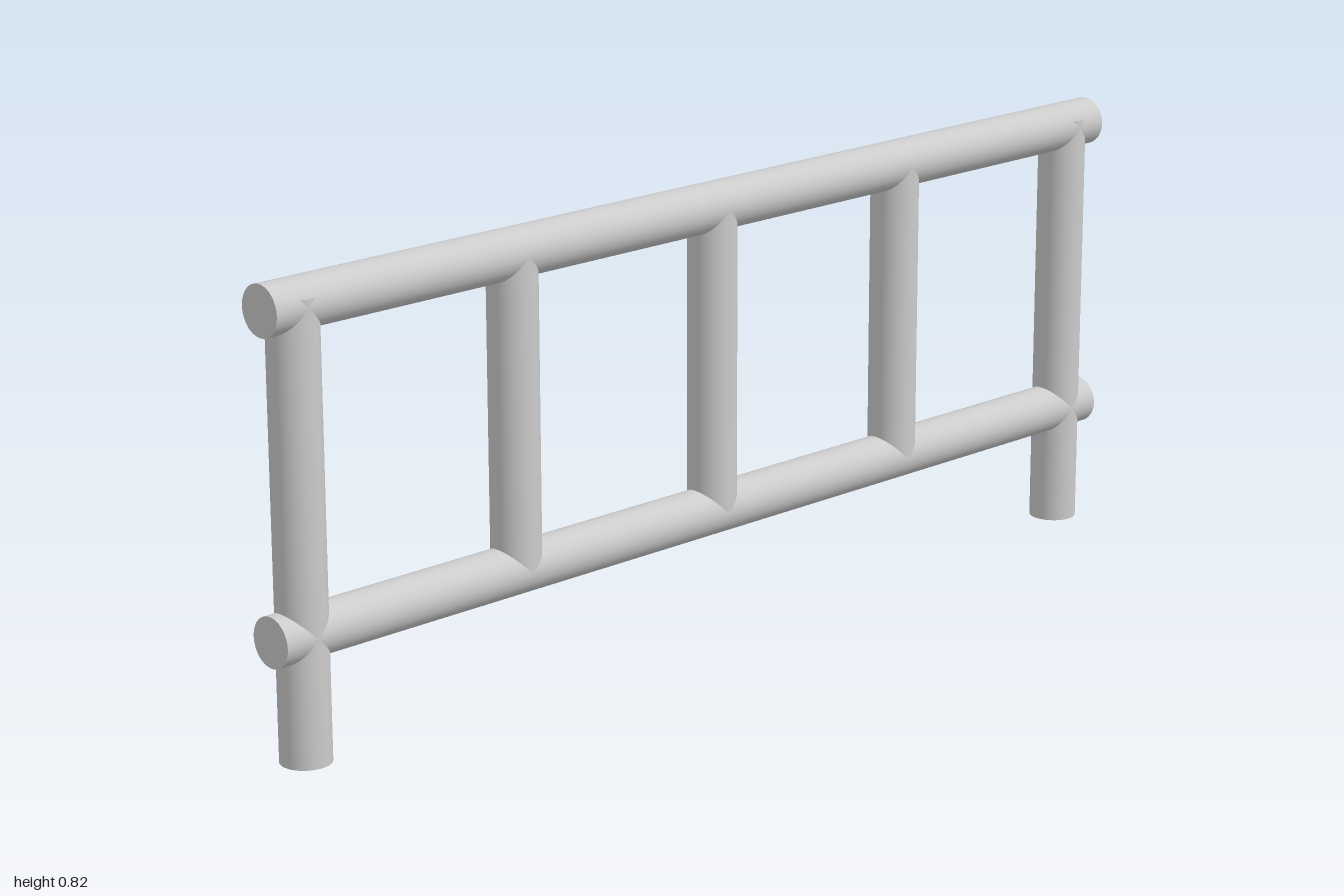
import * as THREE from 'three';

const RADIUS = 0.0445;
const LOW = 0.223;   // axis height of the lower rail
const HIGH = 0.78;   // axis height of the upper rail

export function createModel() {
  const group = new THREE.Group();
  const material = new THREE.MeshStandardMaterial({ color: 0xcccccc });

  // Straight round pipe between two points
  function pipe(name, from, to) {
    const a = new THREE.Vector3(...from);
    const b = new THREE.Vector3(...to);
    const geometry = new THREE.CylinderGeometry(RADIUS, RADIUS, a.distanceTo(b), 48);
    const mesh = new THREE.Mesh(geometry, material);
    mesh.name = name;
    mesh.position.copy(a).add(b).multiplyScalar(0.5);
    mesh.quaternion.setFromUnitVectors(new THREE.Vector3(0, 1, 0), b.sub(a).normalize());
    group.add(mesh);
  }

  // Horizontal rails
  pipe('lowerRail', [-1, LOW, 0], [1, LOW, 0]);
  pipe('upperRail', [-1, HIGH, 0], [1, HIGH, 0]);

  // End posts, standing on the ground and running up into the upper rail
  pipe('rightPost', [-0.935, 0, 0], [-0.935, 0.796, 0]);
  pipe('leftPost', [0.935, 0, 0], [0.935, 0.796, 0]);

  // Balusters between the rails
  [-0.468, 0, 0.468].forEach((x, i) => pipe(`baluster${i + 1}`, [x, LOW + 0.005, 0], [x, HIGH - 0.003, 0]));

  return group;
}
